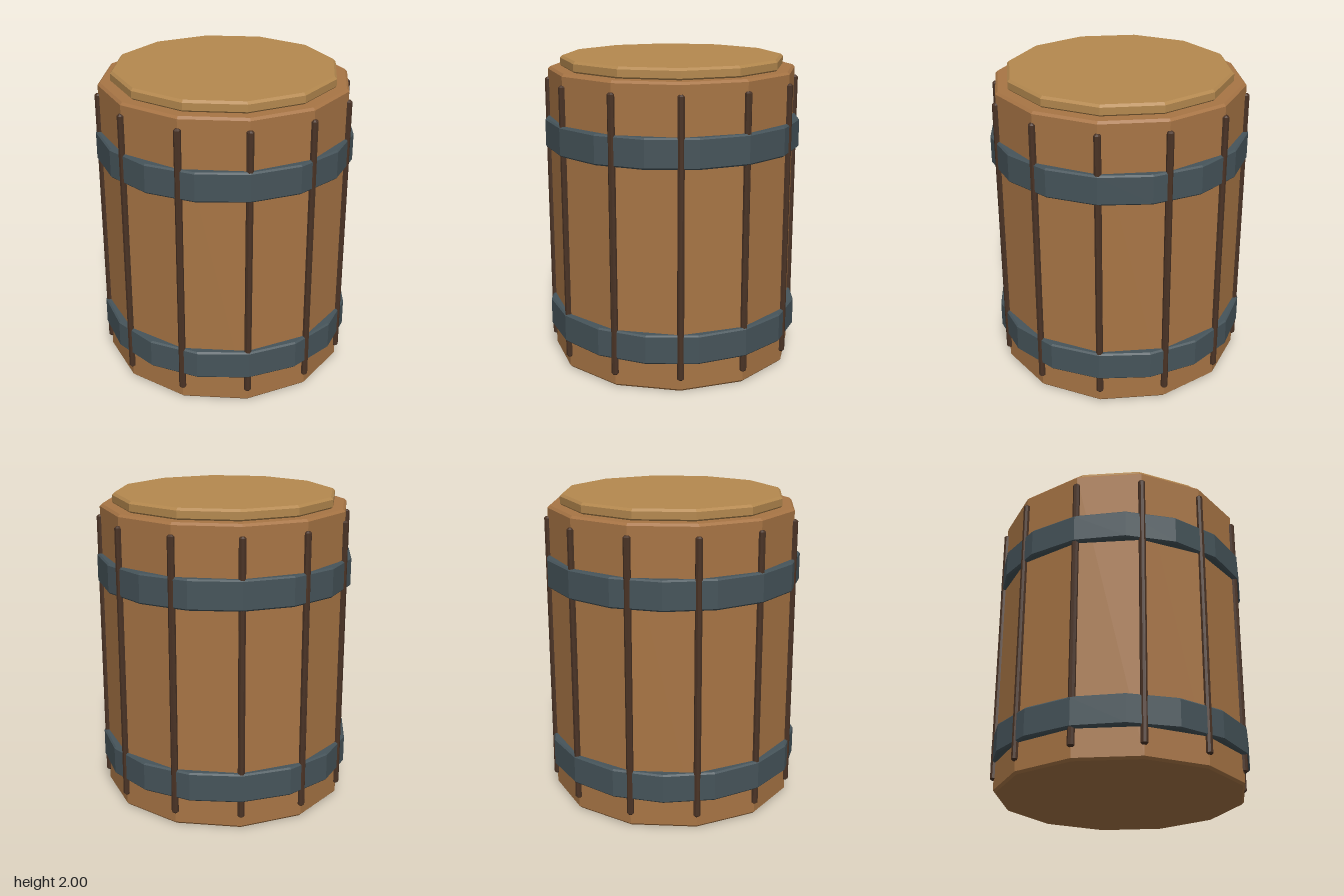
import * as THREE from 'three';

const paint = (color) => new THREE.MeshStandardMaterial({ color, flatShading: true });

// Faceted solid of revolution from [radius, height] pairs, listed bottom to top
function turned(name, profile, sides, material) {
  const points = profile.map(([r, y]) => new THREE.Vector2(r, y));
  const mesh = new THREE.Mesh(new THREE.LatheGeometry(points, sides), material);
  mesh.name = name;
  return mesh;
}

// Closed disc with chamfered rims
function chamferedDisc(name, radius, y0, y1, c, material) {
  return turned(name, [
    [0, y0], [radius - c, y0], [radius, y0 + c],
    [radius, y1 - c], [radius - c, y1], [0, y1],
  ], 12, material);
}

// Upright strip: square section with cut corners and chamfered ends
function stripGeometry(width, y0, y1, c) {
  const h = width / 2 - c, k = h - c * 0.6;
  const outline = [[h, -k], [h, k], [k, h], [-k, h], [-h, k], [-h, -k], [-k, -h], [k, -h]];
  const shape = new THREE.Shape(outline.map(([x, y]) => new THREE.Vector2(x, y)));
  const geometry = new THREE.ExtrudeGeometry(shape, {
    depth: y1 - y0 - 2 * c, bevelEnabled: true, bevelSegments: 1, bevelSize: c, bevelThickness: c,
  });
  return geometry.rotateX(-Math.PI / 2).translate(0, y0 + c, 0);
}

export function createModel() {
  const barrel = new THREE.Group();
  barrel.name = 'barrel';
  const wood = paint(0xa87545), lidWood = paint(0xb5894f);
  const iron = paint(0x46545a), darkWood = paint(0x4a3325);

  // Twelve-sided body and lid
  barrel.add(chamferedDisc('body', 0.805, 0, 1.93, 0.015, wood));
  barrel.add(chamferedDisc('lid', 0.725, 1.925, 2, 0.015, lidWood));

  // Sixteen-sided metal hoops
  for (const [name, y0] of [['lowerHoop', 0.19], ['upperHoop', 1.42]]) {
    const y1 = y0 + 0.19, c = 0.01, inner = 0.76, outer = 0.833;
    barrel.add(turned(name, [
      [inner, y0], [outer - c, y0], [outer, y0 + c],
      [outer, y1 - c], [outer - c, y1], [inner, y1], [inner, y0],
    ], 16, iron));
  }

  // Dark strips along the twelve corners
  const strip = stripGeometry(0.042, 0.08, 1.86, 0.01);
  for (let i = 0; i < 12; i++) {
    const angle = (i * Math.PI) / 6;
    const seam = new THREE.Mesh(strip, darkWood);
    seam.name = 'staveSeam';
    seam.position.set(Math.sin(angle) * 0.806, 0, Math.cos(angle) * 0.806);
    seam.rotation.y = angle;
    barrel.add(seam);
  }
  return barrel;
}
